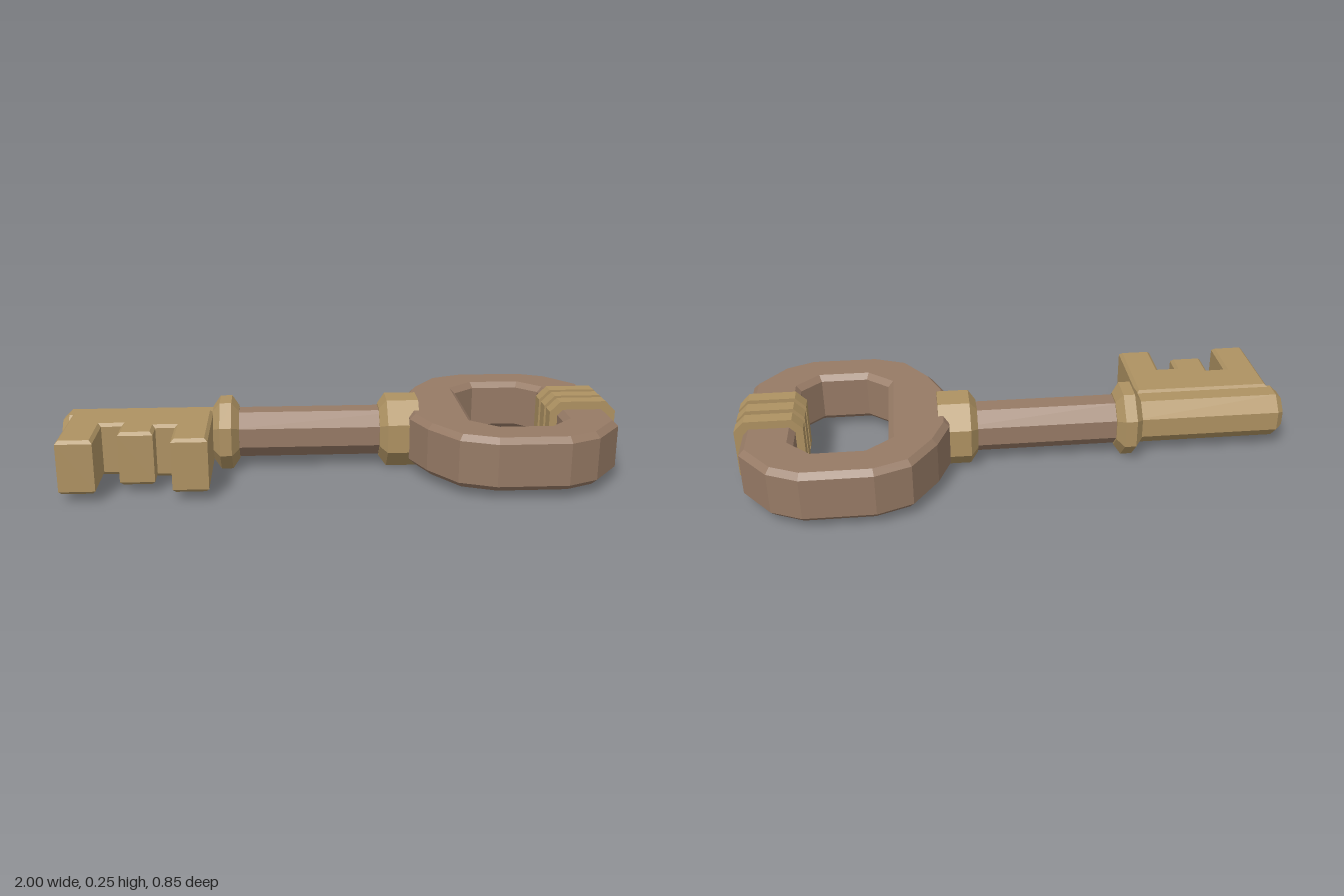
import * as THREE from 'three';

const MID_Y = 0.125;

export function createModel() {
  const model = new THREE.Group();
  model.name = 'key';

  const bronze = new THREE.MeshStandardMaterial({ color: 0x967a65 });
  bronze.name = 'brown bronze';
  const brass = new THREE.MeshStandardMaterial({ color: 0xae9262 });
  brass.name = 'old brass';

  function add(name, geometry, material) {
    const mesh = new THREE.Mesh(geometry, material);
    mesh.name = name;
    model.add(mesh);
  }

  // Faceted octagonal bar along x; profile is [x, apothem] from low x to high x
  function octagonBar(profile) {
    const k = 1 / Math.cos(Math.PI / 8);
    const pts = [[profile[0][0], 0], ...profile, [profile[profile.length - 1][0], 0]]
      .map(([x, r]) => new THREE.Vector2(r * k, x));
    const geo = new THREE.LatheGeometry(pts, 8, Math.PI / 8).toNonIndexed();
    geo.rotateZ(-Math.PI / 2).translate(0, MID_Y, 0);
    geo.computeVertexNormals();
    return geo;
  }

  const toPoints = (pts) => pts.map(([x, y]) => new THREE.Vector2(x, y));

  // Bevelled plate lying flat: shape coordinates are x and z
  function flatPlate(shape, thickness, bevel) {
    const depth = thickness - 2 * bevel;
    const geo = new THREE.ExtrudeGeometry(shape, {
      depth, bevelEnabled: true, bevelThickness: bevel, bevelSize: bevel,
      bevelOffset: -bevel, bevelSegments: 1,
    });
    return geo.rotateX(Math.PI / 2).translate(0, MID_Y + depth / 2, 0);
  }

  // Outline mirrored across z = 0
  const mirrored = (half) => toPoints([...half, ...half.slice().reverse().map(([x, z]) => [x, -z])]);

  // Shaft, tip barrel and collars
  add('shaft', octagonBar([[-0.4, 0.084], [0.3, 0.084]]), bronze);
  add('tipBarrel', octagonBar([[-1, 0.064], [-0.975, 0.086], [-0.42, 0.086]]), brass);
  add('tipCollar', octagonBar([[-0.462, 0.09], [-0.435, 0.125], [-0.393, 0.125], [-0.367, 0.09]]), brass);
  add('bowCollar', octagonBar([[0.143, 0.09], [0.17, 0.125], [0.285, 0.125]]), brass);

  // Toothed bit
  const bit = new THREE.Shape(toPoints([
    [-0.963, 0.025], [-0.46, 0.025], [-0.46, 0.364], [-0.583, 0.364], [-0.583, 0.204],
    [-0.65, 0.204], [-0.65, 0.284], [-0.77, 0.284], [-0.77, 0.178], [-0.84, 0.178],
    [-0.84, 0.364], [-0.963, 0.364],
  ]));
  add('bit', flatPlate(bit, 0.19, 0.011), brass);

  // Ring-shaped bow with an eight-sided hole, wound opposite to the outline
  const bow = new THREE.Shape(mirrored([
    [0.247, 0.125], [0.295, 0.245], [0.385, 0.375], [0.51, 0.425],
    [0.757, 0.425], [0.865, 0.375], [0.968, 0.245],
  ]));
  bow.holes.push(new THREE.Path(mirrored([
    [0.788, 0.2], [0.717, 0.27], [0.545, 0.27], [0.463, 0.2],
  ])));
  add('bow', flatPlate(bow, 0.19, 0.02), bronze);

  // Three chamfered bands around the end of the bow
  const x0 = 0.76, x1 = 1, h = 0.25, c = 0.037;
  const band = new THREE.Shape(toPoints([
    [x0 + c, 0], [x1 - c, 0], [x1, c], [x1, h - c],
    [x1 - c, h], [x0 + c, h], [x0, h - c], [x0, c],
  ]));
  for (const z of [-0.079, 0, 0.079]) {
    const geo = new THREE.ExtrudeGeometry(band, { depth: 0.053, bevelEnabled: false });
    add('bowBand', geo.translate(0, 0, z - 0.0265), brass);
  }

  return model;
}
